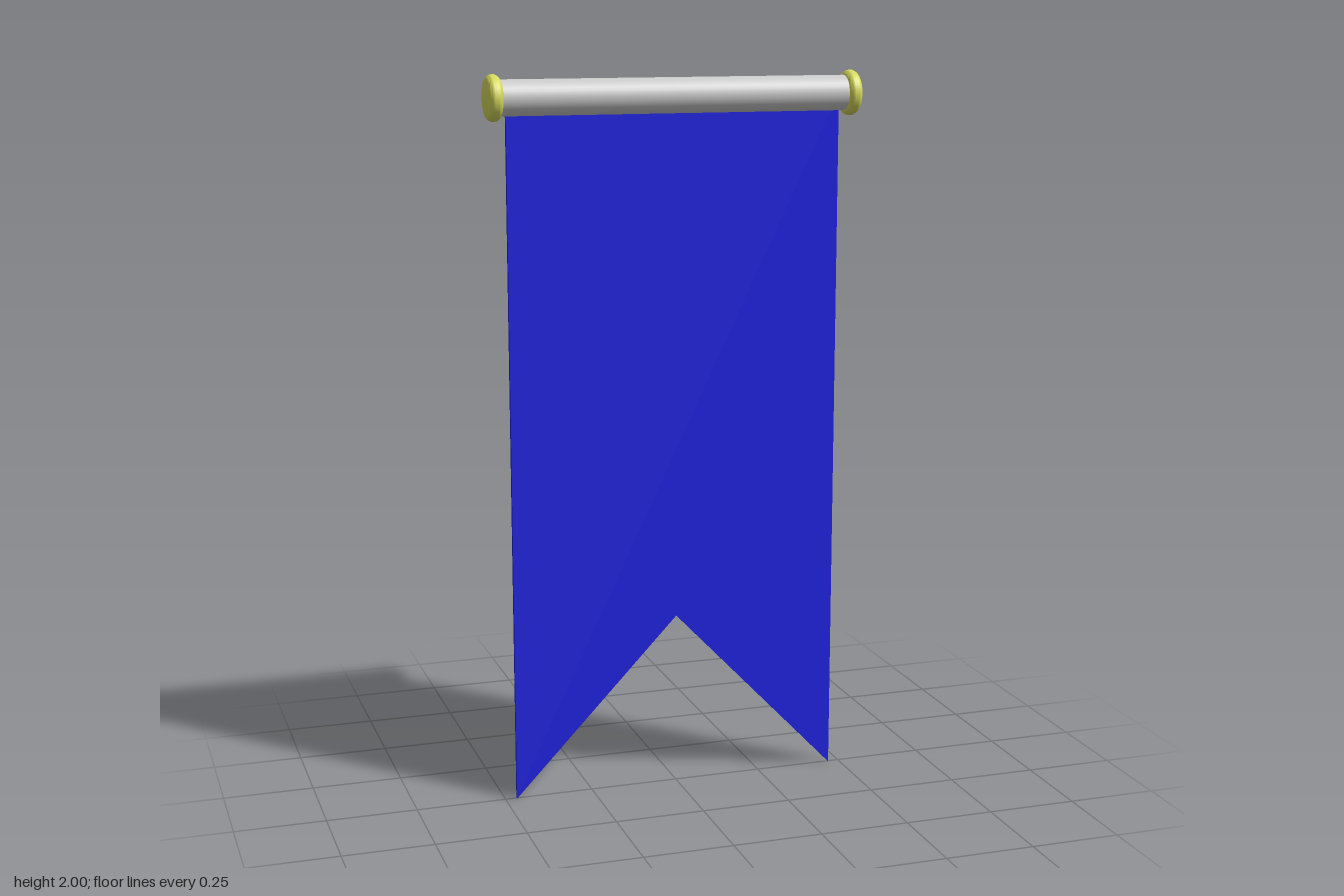
import * as THREE from 'three';
import { toCreasedNormals } from 'three/addons/utils/BufferGeometryUtils.js';

const ROD_Y = 1.938;

export function createModel() {
  const model = new THREE.Group();
  model.name = 'hangingBanner';
  const grey = new THREE.MeshStandardMaterial({ color: 0xcccccc });
  const yellow = new THREE.MeshStandardMaterial({ color: 0xd6da5c });
  const blue = new THREE.MeshStandardMaterial({ color: 0x1e20e0 });

  const add = (name, geometry, material) => {
    const mesh = new THREE.Mesh(geometry, material);
    mesh.name = name;
    model.add(mesh);
    return mesh;
  };

  // Horizontal rod
  const rod = add('rod', new THREE.CylinderGeometry(0.048, 0.048, 0.98, 32), grey);
  rod.rotation.z = Math.PI / 2;
  rod.position.y = ROD_Y;

  // Rounded end caps: flat discs with a bulging rim
  const profile = [new THREE.Vector2(0, -0.019)];
  for (let i = 0; i <= 10; i++) {
    const a = -Math.PI / 2 + (i / 10) * Math.PI;
    profile.push(new THREE.Vector2(0.044 + 0.018 * Math.cos(a), 0.019 * Math.sin(a)));
  }
  profile.push(new THREE.Vector2(0, 0.019));
  const capGeometry = toCreasedNormals(new THREE.LatheGeometry(profile, 32), 0.6);
  for (const side of [1, -1]) {
    const cap = add(side > 0 ? 'leftCap' : 'rightCap', capGeometry, yellow);
    cap.rotation.z = -side * Math.PI / 2;
    cap.position.set(side * 0.501, ROD_Y, 0);
  }

  // Thin cloth with a swallowtail lower edge, top tucked inside the rod
  const outline = new THREE.Shape([
    [-0.468, 0], [0, 0.49], [0.468, 0], [0.468, ROD_Y], [-0.468, ROD_Y],
  ].map(([x, y]) => new THREE.Vector2(x, y)));
  const cloth = new THREE.ExtrudeGeometry(outline, { depth: 0.01, bevelEnabled: false });
  cloth.translate(0, 0, -0.005);
  add('cloth', cloth, blue);

  return model;
}
